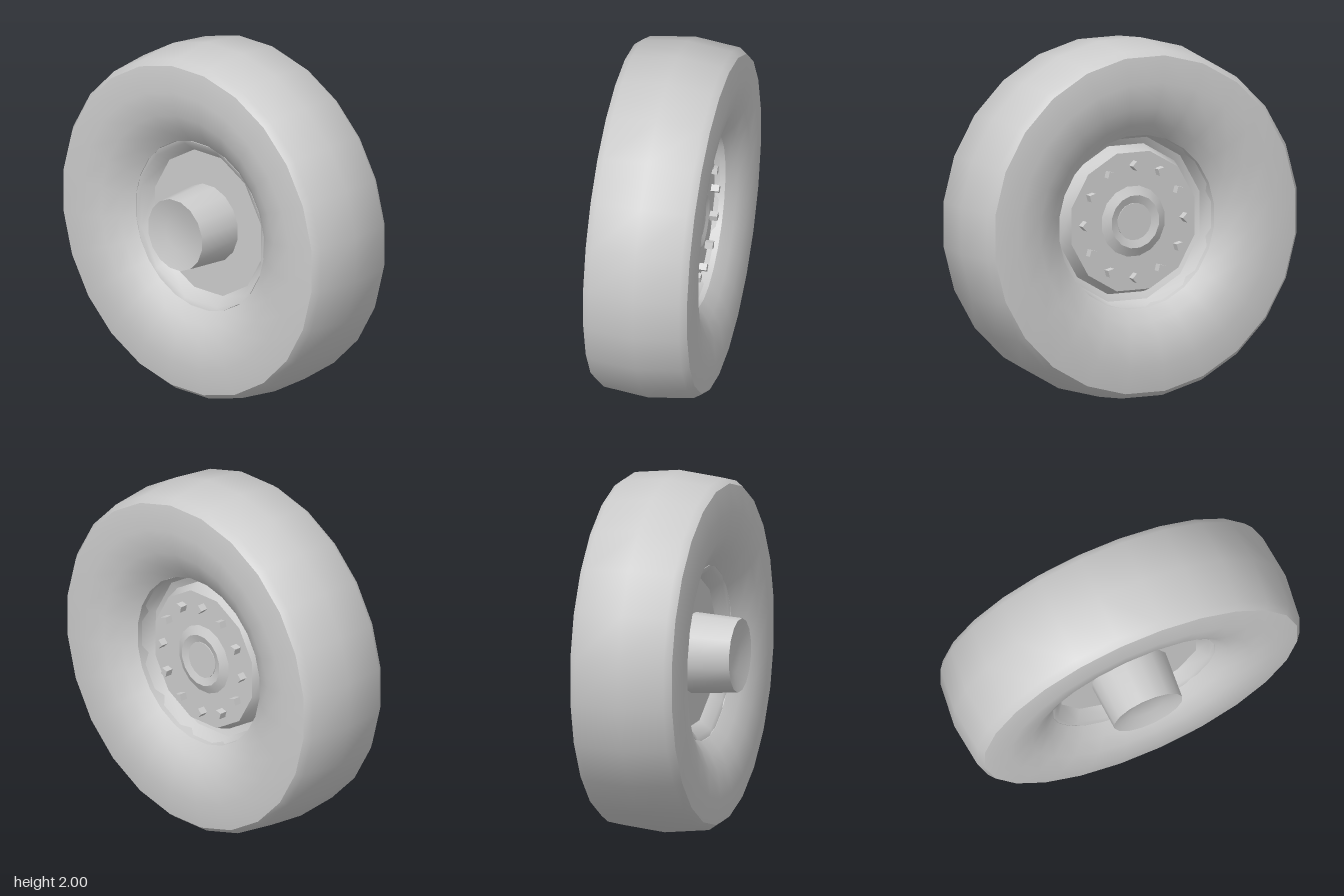
import * as THREE from 'three';
import { toCreasedNormals } from 'three/addons/utils/BufferGeometryUtils.js';

const material = new THREE.MeshStandardMaterial({ color: 0xcccccc, side: THREE.DoubleSide });

// Revolves [x, radius] points about the x axis, with a flat facet at the top.
function revolve(name, profile, sides) {
  const points = profile.map(([x, r]) => new THREE.Vector2(r, x));
  const lathe = new THREE.LatheGeometry(points, sides, Math.PI / sides);
  const mesh = new THREE.Mesh(toCreasedNormals(lathe, 0.72), material);
  mesh.rotation.z = -Math.PI / 2;
  mesh.name = name;
  return mesh;
}

export function createModel() {
  const model = new THREE.Group();
  model.name = 'wheel';
  const wheel = new THREE.Group();
  wheel.name = 'wheelAssembly';
  wheel.position.y = 1;
  model.add(wheel);

  // Tyre: half section mirrored about its middle plane, closed through the bore
  const middle = 0.035;
  const half = [[0.255, 0.98], [0.295, 0.95], [0.315, 0.8], [0.295, 0.66], [0.25, 0.56], [0.195, 0.49]];
  const tyreProfile = [
    ...half.map(([x, r]) => [middle - x, r]).reverse(),
    [middle, 1.008],
    ...half.map(([x, r]) => [middle + x, r]),
    [middle - 0.195, 0.49],
  ];
  wheel.add(revolve('tyre', tyreProfile, 24));

  // Rim: back dish, barrel, front groove and bolt face
  wheel.add(revolve('rim', [
    [-0.09, 0.15], [-0.09, 0.42], [-0.15, 0.47], [-0.16, 0.5],
    [0.2, 0.5], [0.12, 0.47], [0.1, 0.43], [0.19, 0.4], [0.19, 0.15],
  ], 12));

  // Hub: tapered tube with a dished back end and a raised front collar
  wheel.add(revolve('hub', [
    [-0.33, 0], [-0.33, 0.1], [-0.36, 0.207], [-0.09, 0.225],
    [0.185, 0.21], [0.215, 0.15], [0.2, 0.105],
  ], 16));

  // Centre cap
  wheel.add(revolve('centreCap', [[0.15, 0.105], [0.205, 0.105], [0.205, 0]], 16));

  // Ring of square bolts
  const boltGeometry = new THREE.BoxGeometry(0.06, 0.038, 0.038);
  for (let i = 0; i < 12; i++) {
    const angle = (i * Math.PI) / 6;
    const bolt = new THREE.Mesh(boltGeometry, material);
    bolt.name = 'bolt';
    bolt.position.set(0.205, 0.315 * Math.cos(angle), 0.315 * Math.sin(angle));
    bolt.rotation.x = angle + Math.PI / 4;
    wheel.add(bolt);
  }
  return model;
}
